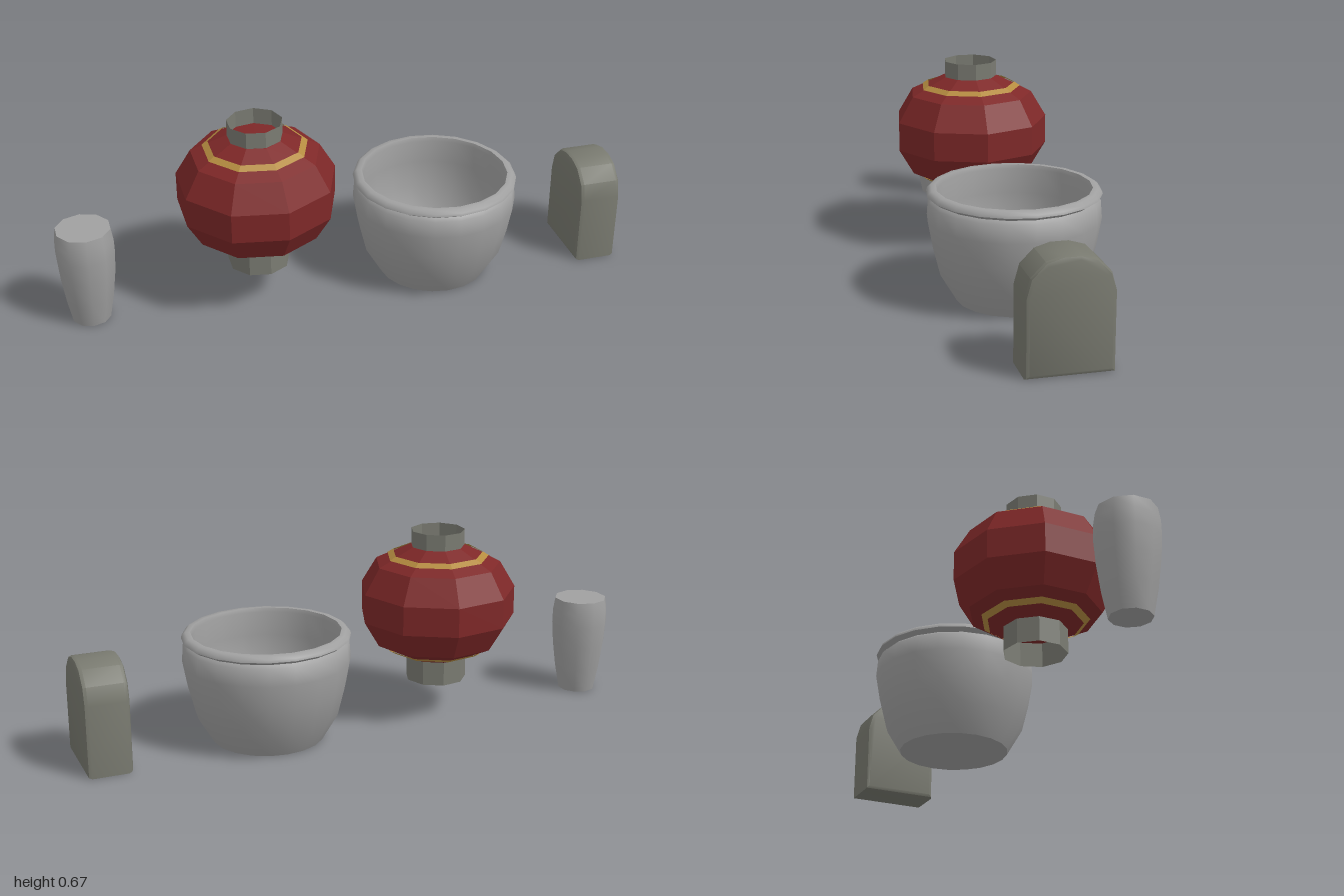
import * as THREE from 'three';
import { toCreasedNormals } from 'three/addons/utils/BufferGeometryUtils.js';

const red = new THREE.MeshStandardMaterial({ name: 'lantern red', color: 0x7e2828 });
const gold = new THREE.MeshStandardMaterial({ name: 'gold trim', color: 0xb58c40, side: THREE.DoubleSide });
const iron = new THREE.MeshStandardMaterial({ name: 'grey green metal', color: 0x7a7b72, side: THREE.DoubleSide });
const stone = new THREE.MeshStandardMaterial({ name: 'grey green stone', color: 0x78796f });
const clay = new THREE.MeshStandardMaterial({ name: 'grey clay', color: 0xa0a0a0 });

// Turned part from [radius, height] pairs; crease 0 gives flat facets
function turned(name, profile, sides, material, crease, start = 0) {
  const points = profile.map(([r, y]) => new THREE.Vector2(r, y));
  const geo = new THREE.LatheGeometry(points, sides, start);
  const mesh = new THREE.Mesh(toCreasedNormals(geo, crease), material);
  mesh.name = name;
  return mesh;
}

function createLantern() {
  const lantern = new THREE.Group();
  lantern.name = 'lantern';
  const mid = 0.41;
  const facet = (name, profile, material) =>
    lantern.add(turned(name, profile, 9, material, 0.01, Math.PI / 2));

  // Faceted body, mirrored about its middle
  const upper = [[0.277, 0.051], [0.223, 0.142], [0.096, 0.204], [0, 0.21]];
  const lower = upper.map(([r, h]) => [r, -h]).reverse();
  facet('lanternBody', [...lower, ...upper].map(([r, h]) => [r, mid + h]), red);

  // Gold bands near both ends
  facet('upperBand', [[0.182, mid + 0.1645], [0.161, mid + 0.178]], gold);
  facet('lowerBand', [[0.161, mid - 0.178], [0.182, mid - 0.1645]], gold);

  // Open collars
  facet('topCollar', [[0.095, 0.61], [0.095, 0.671]], iron);
  facet('bottomCollar', [[0.108, 0.126], [0.108, 0.212]], iron);
  lantern.position.x = -0.306;
  return lantern;
}

function createVase() {
  const vase = turned('vase', [
    [0, 0], [0.067, 0], [0.084, 0.09], [0.096, 0.18], [0.102, 0.26],
    [0.101, 0.31], [0.094, 0.353], [0, 0.353],
  ], 10, clay, 0.9);
  vase.position.x = -0.903;
  return vase;
}

function createPot() {
  // Outer wall, rolled rim, inner wall and floor
  const pot = turned('pot', [
    [0, 0], [0.193, 0], [0.248, 0.094], [0.272, 0.19], [0.288, 0.28], [0.283, 0.34],
    [0.271, 0.351], [0.289, 0.363], [0.286, 0.372], [0.274, 0.382], [0.257, 0.382],
    [0.252, 0.368], [0.258, 0.28], [0.243, 0.19], [0.22, 0.1], [0.174, 0.025], [0, 0.025],
  ], 20, clay, 0.9);
  pot.position.x = 0.336;
  return pot;
}

function createTablet() {
  // Round-topped slab with softened edges
  const half = [[0.138, 0], [0.138, 0.25], [0.122, 0.309], [0.077, 0.355], [0.027, 0.37]];
  const outline = [...half, ...half.map(([x, y]) => [-x, y]).reverse()];
  const shape = new THREE.Shape(outline.map(([x, y]) => new THREE.Vector2(x, y)));
  const geo = new THREE.ExtrudeGeometry(shape, {
    depth: 0.122, bevelEnabled: true, bevelThickness: 0.015,
    bevelSize: 0.013, bevelOffset: -0.013, bevelSegments: 2,
  });
  geo.translate(0, 0, -0.061).rotateY(Math.PI / 2);
  const tablet = new THREE.Mesh(toCreasedNormals(geo, 0.6), stone);
  tablet.name = 'stoneTablet';
  tablet.position.x = 0.924;
  return tablet;
}

export function createModel() {
  const model = new THREE.Group();
  model.name = 'gardenOrnaments';
  model.add(createVase(), createLantern(), createPot(), createTablet());
  return model;
}
